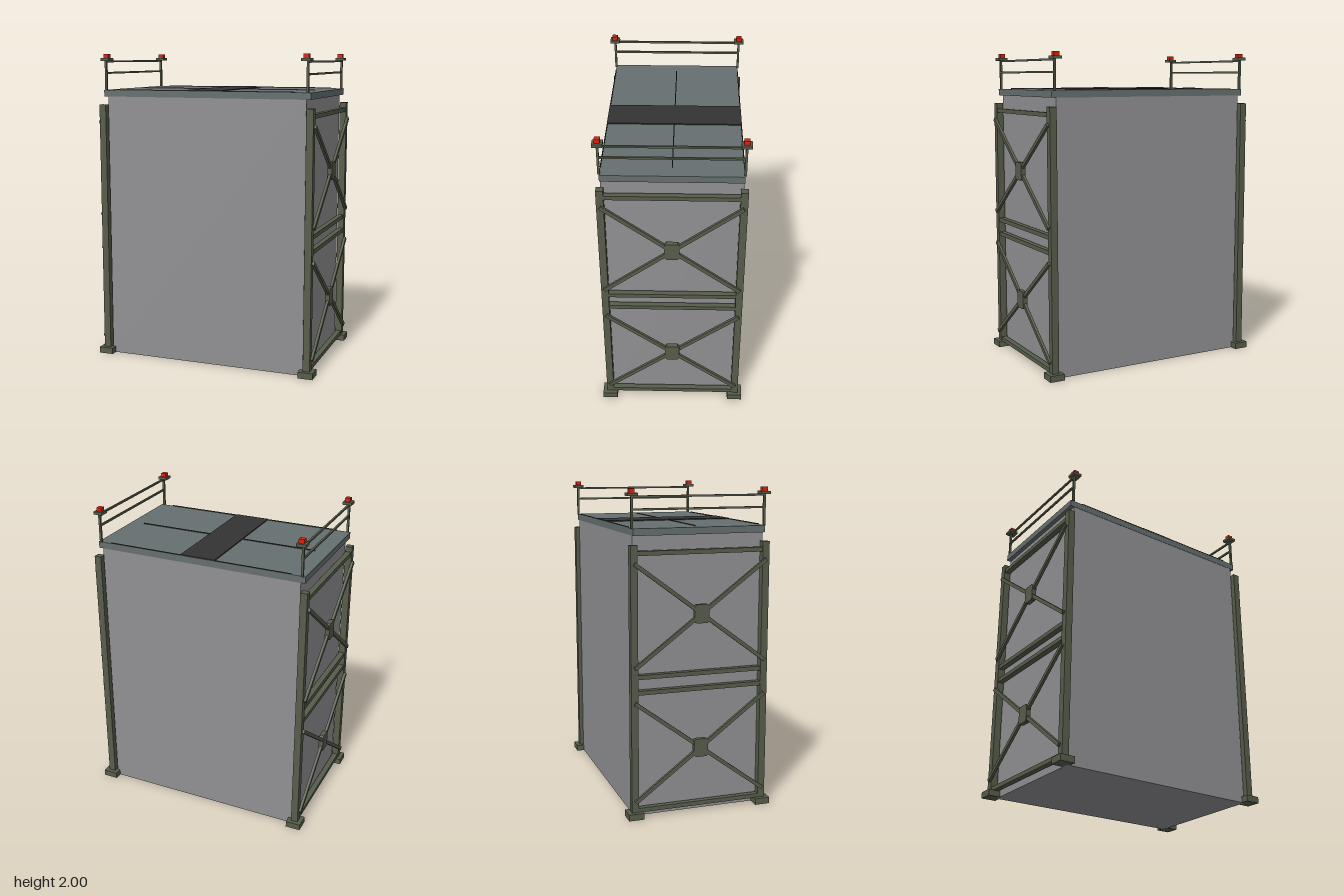
import * as THREE from 'three';

const mat = (name, color) => {
  const m = new THREE.MeshStandardMaterial({ color });
  m.name = name;
  return m;
};

export function createModel() {
  const wall = mat('wall grey', 0x919194);
  const roofing = mat('roof slate', 0x66706f);
  const steel = mat('olive steel', 0x575d4b);
  const dark = mat('dark stripe', 0x333333);
  const red = mat('lamp red', 0xd9200d);

  const model = new THREE.Group();
  model.name = 'tower';

  const box = (parent, name, material, size, pos) => {
    const mesh = new THREE.Mesh(new THREE.BoxGeometry(...size), material);
    mesh.name = name;
    mesh.position.set(...pos);
    parent.add(mesh);
    return mesh;
  };

  // Main block and roof slab
  box(model, 'body', wall, [1.334, 1.73, 0.83], [0, 0.865, 0]);
  box(model, 'roof', roofing, [1.39, 0.042, 0.834], [0, 1.749, 0]);

  // Roof markings: wide centre band and thin seams
  box(model, 'roofBand', dark, [0.23, 0.008, 0.836], [0, 1.773, 0]);
  for (const z of [-0.415, 0, 0.415]) {
    box(model, 'roofSeam', dark, [1.21, 0.006, 0.006], [0, 1.772, z]);
  }

  // Chamfered plate where the braces cross
  const w = 0.046, h = 0.057, c = 0.012;
  const plateShape = new THREE.Shape([
    [-w + c, -h], [w - c, -h], [w, -h + c], [w, h - c],
    [w - c, h], [-w + c, h], [-w, h - c], [-w, -h + c],
  ].map(([x, y]) => new THREE.Vector2(x, y)));
  const plateGeo = new THREE.ExtrudeGeometry(plateShape, { depth: 0.03, bevelEnabled: false });
  plateGeo.translate(0, 0, -0.015);
  plateGeo.rotateY(Math.PI / 2);

  for (const s of [1, -1]) {
    const side = new THREE.Group();
    side.name = s > 0 ? 'leftSideFrame' : 'rightSideFrame';
    model.add(side);

    for (const z of [-0.418, 0.418]) {
      // Corner column on its foot
      box(side, 'foot', steel, [0.096, 0.04, 0.096], [s * 0.697, 0.02, z]);
      box(side, 'column', steel, [0.045, 1.637, 0.044], [s * 0.697, 0.857, z]);

      // Railing post with lamp
      box(side, 'railPost', steel, [0.014, 0.19, 0.014], [s * 0.676, 1.863, z]);
      box(side, 'lampBase', steel, [0.06, 0.018, 0.062], [s * 0.67, 1.966, z]);
      box(side, 'lamp', red, [0.034, 0.025, 0.034], [s * 0.668, 1.9875, z]);
    }

    // Guard rails
    for (const y of [1.879, 1.953]) {
      box(side, 'guardRail', steel, [0.012, 0.012, 0.836], [s * 0.676, y, 0]);
    }

    // Horizontal beams
    for (const y of [0.05, 0.791, 0.887, 1.627]) {
      box(side, 'beam', steel, [0.036, 0.027, 0.8], [s * 0.697, y, 0]);
    }

    // Crossed braces with centre plates
    const dz = 0.836, dy = 0.625;
    for (const y of [0.419, 1.256]) {
      for (const dir of [1, -1]) {
        const brace = box(side, 'brace', steel,
          [0.018, 0.024, Math.hypot(dz, dy)], [s * 0.725, y, 0]);
        brace.rotation.x = dir * Math.atan2(dy, dz);
      }
      const plate = new THREE.Mesh(plateGeo, steel);
      plate.name = 'bracePlate';
      plate.position.set(s * 0.724, y, 0);
      side.add(plate);
    }
  }
  return model;
}
